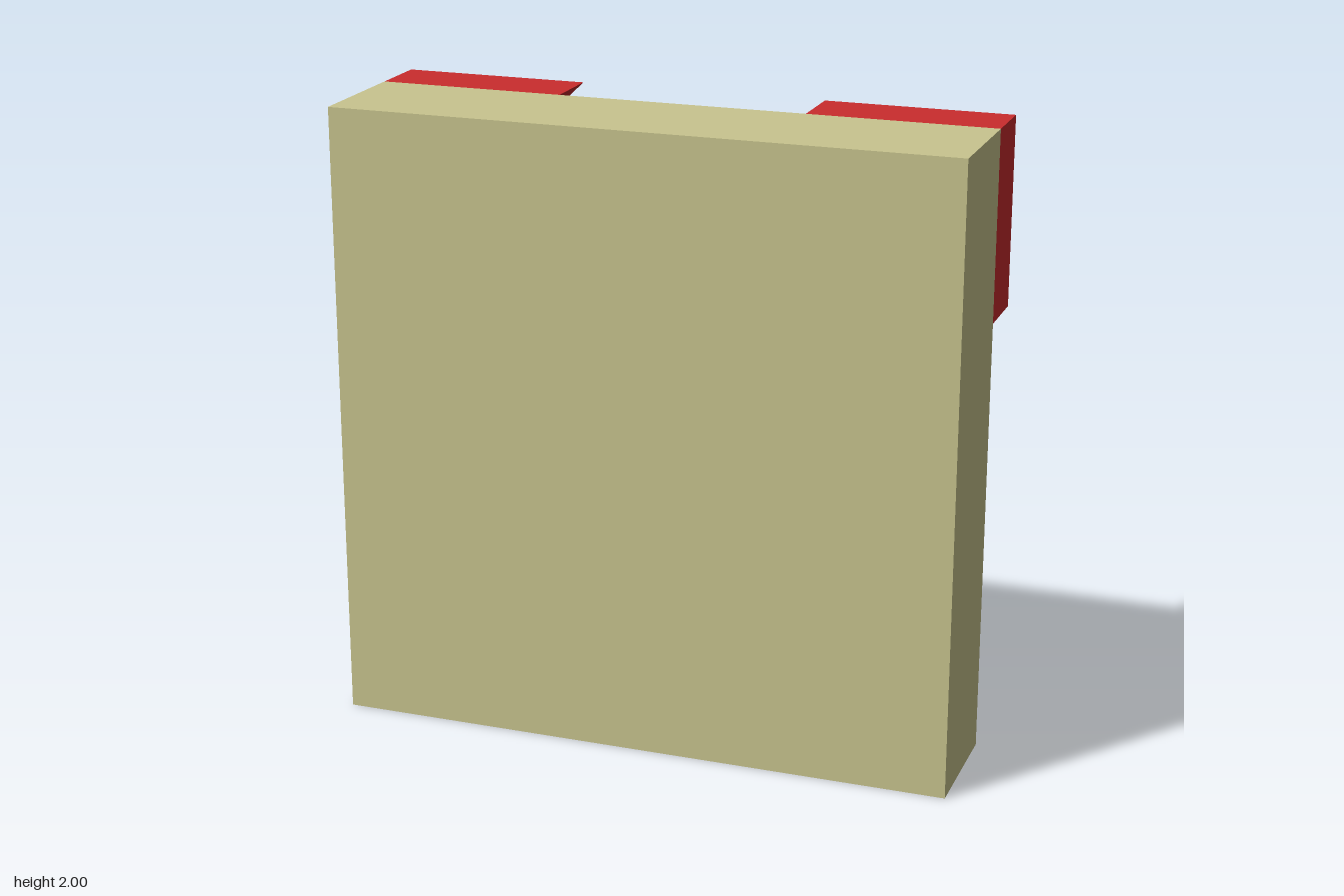
import * as THREE from 'three';

const material = (name, color) => {
  const m = new THREE.MeshStandardMaterial({ color });
  m.name = name;
  return m;
};

const polygon = (type, points) => new type(points.map(([x, y]) => new THREE.Vector2(x, y)));
const rect = (type, x0, x1, y0, y1) => polygon(type, [[x0, y0], [x1, y0], [x1, y1], [x0, y1]]);

export function createModel() {
  const plaster = material('plaster', 0xc9c58f);
  const red = material('red', 0xca2c2e);
  const darkWood = material('darkWood', 0x352235);
  const glass = material('amberGlass', 0xca942f);

  const model = new THREE.Group();
  model.name = 'wallPanel';

  const add = (name, geometry, mat, x, y, z) => {
    const mesh = new THREE.Mesh(geometry, mat);
    mesh.name = name;
    mesh.position.set(x, y, z);
    model.add(mesh);
  };
  const extrude = (shape, depth) => new THREE.ExtrudeGeometry(shape, { depth, bevelEnabled: false });

  // Wall slab
  add('wall', new THREE.BoxGeometry(2, 2, 0.4), plaster, 0, 1, 0.1);

  // Triangular brackets in the two upper corners of the back
  for (const [side, s] of [['left', 1], ['right', -1]]) {
    const triangle = polygon(THREE.Shape, [[s, 2], [s * 0.4, 2], [s, 1.4]]);
    add(side + 'CornerBracket', extrude(triangle, 0.2), red, 0, 0, -0.3);
  }

  // Window frame with two openings
  const frame = rect(THREE.Shape, -0.5, 0.5, 0.5, 1.5);
  for (const x of [-0.38, 0.06]) frame.holes.push(rect(THREE.Path, x, x + 0.32, 0.62, 1.38));
  add('windowFrame', extrude(frame, 0.1), darkWood, 0, 0, -0.2);

  // Red face on the left edge of the frame
  add('frameSidePaint', new THREE.BoxGeometry(0.004, 1, 0.1), red, 0.5, 1, -0.15);

  // Recessed panes
  for (const [side, s] of [['left', 1], ['right', -1]]) {
    add(side + 'Pane', new THREE.BoxGeometry(0.32, 0.76, 0.02), glass, s * 0.22, 1, -0.11);
  }

  return model;
}
